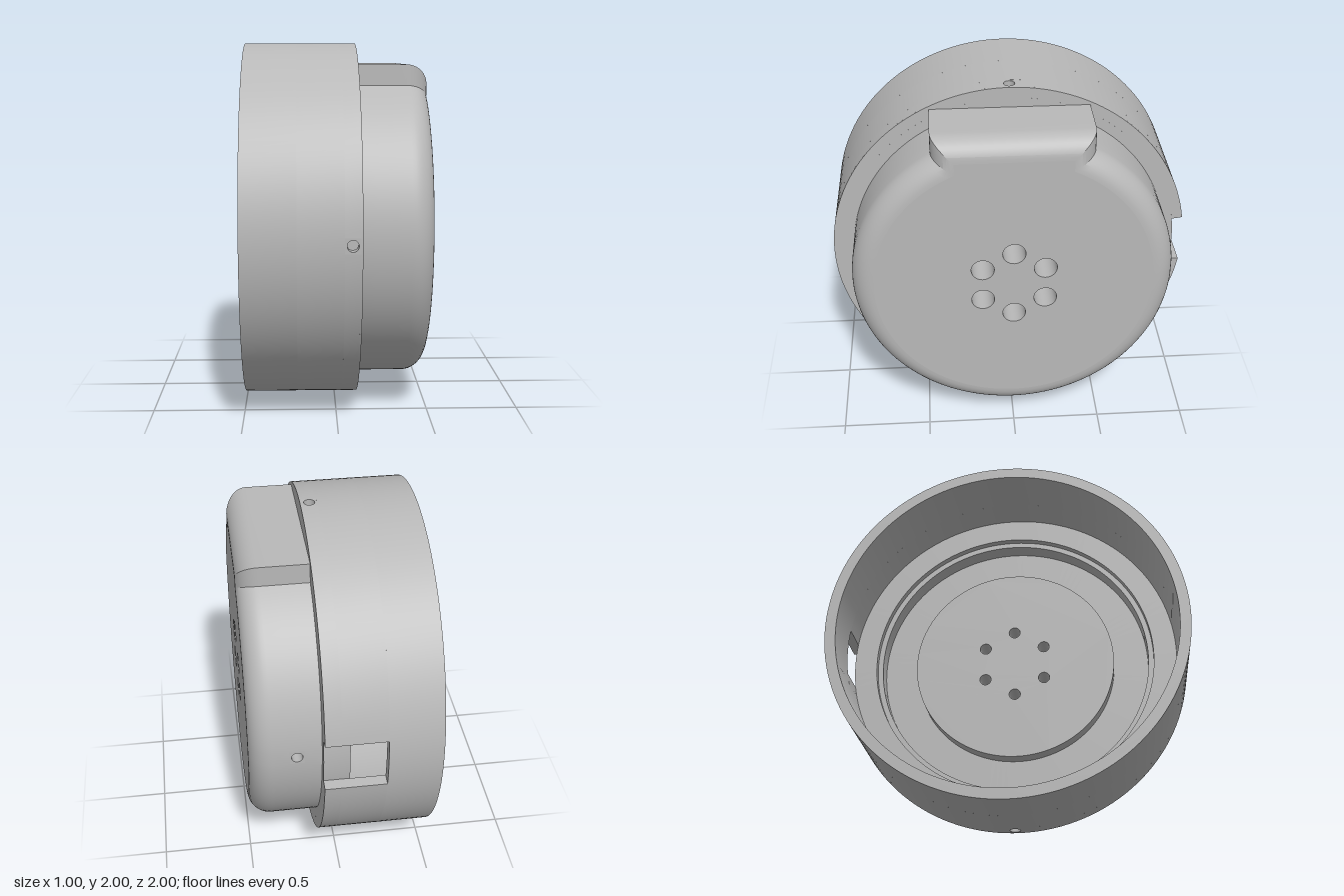
import * as THREE from 'three';
import { toCreasedNormals, mergeGeometries } from 'three/addons/utils/BufferGeometryUtils.js';

const PI = Math.PI;
const BORE = 0.94, CAP_R = 0.885, BUMP = 0.43, FILLET = 0.12, FRONT = 0.5, FLOOR = 0.03;
const PIN = 0.04, CAP_PIN = 0.045; // half angles of the pin hole patches
const grey = new THREE.MeshStandardMaterial({ color: 0xb8b8b8 });
grey.name = 'grey plastic';

// Angles run round the x axis: 0 is back (-z), PI/2 is top, PI is front.
const facing = (geometry, side) => geometry.rotateY(side * PI / 2);

// One layer of the sleeve wall between x0 and x1, made of separate arcs
function sleeveLayer(x0, x1, arcs) {
  return arcs.map(([a, b]) => {
    const s = new THREE.Shape();
    s.absarc(0, 0, 1, a, b, false);
    s.absarc(0, 0, BORE, b, a, true);
    s.closePath();
    const g = new THREE.ExtrudeGeometry(s, {
      depth: x1 - x0, bevelEnabled: false, curveSegments: Math.ceil((b - a) * 11),
    });
    return facing(g.translate(0, 0, x0), 1);
  });
}

// Small wall patch with a blind radial hole
function pinPatch(x, angle, radius, half, depth) {
  const s = new THREE.Shape([[-0.04, -half], [0.04, -half], [0.04, half], [-0.04, half]]
    .map(([u, v]) => new THREE.Vector2(u, v)));
  s.holes.push(new THREE.Path().absarc(0, 0, 0.03, 0, 2 * PI, true));
  const wall = new THREE.ExtrudeGeometry(s, { depth, bevelEnabled: false, curveSegments: 12 });
  wall.translate(0, 0, radius - depth);
  const bottom = new THREE.BoxGeometry(0.08, 2 * half, 0.02).toNonIndexed();
  bottom.translate(0, 0, radius - depth - 0.01);
  return mergeGeometries([wall, bottom]).rotateX(PI + angle).translate(x, 0, 0);
}

// Cap outline inset by d: a circle with a square bump on top
function outline(d) {
  const r = CAP_R - d, w = BUMP - d, join = Math.acos(w / r), pts = [];
  const arc = (a, b, n) => {
    for (let i = 0; i <= n; i++) {
      const t = a + (b - a) * i / n;
      pts.push(new THREE.Vector2(r * Math.cos(t), r * Math.sin(t)));
    }
  };
  arc(CAP_PIN, join, 24);
  pts.push(new THREE.Vector2(w, r), new THREE.Vector2(-w, r));
  arc(PI - join, 2 * PI - CAP_PIN, 90);
  return pts;
}

// Cap side wall and rounded rim, leaving a gap for the pin hole patch
function capWall() {
  const rows = [[0.1, 0], [0.21, 0], [0.29, 0]];
  for (let i = 0; i <= 10; i++) {
    const t = i / 10 * PI / 2;
    rows.push([FRONT - FILLET + FILLET * Math.sin(t), FILLET * (1 - Math.cos(t))]);
  }
  const pos = [], index = [];
  let n = 0;
  for (const [x, d] of rows) {
    const pts = outline(d);
    n = pts.length;
    for (const p of pts) pos.push(p.x, p.y, x);
  }
  for (let j = 0; j < rows.length - 1; j++) {
    for (let i = 0; i < n; i++) {
      if (j === 1 && i === n - 1) continue;
      const k = (i + 1) % n, a = j * n, b = a + n;
      index.push(a + i, a + k, b + k, a + i, b + k, b + i);
    }
  }
  const g = new THREE.BufferGeometry();
  g.setAttribute('position', new THREE.Float32BufferAttribute(pos, 3));
  g.setIndex(index);
  g.computeVertexNormals();
  return facing(g, 1);
}

// Lathe about the x axis from [radius, x] pairs
function turned(profile, segments) {
  const pts = profile.map(([r, x]) => new THREE.Vector2(r, x));
  return new THREE.LatheGeometry(pts, segments).rotateZ(-PI / 2);
}

export function createModel() {
  const model = new THREE.Group();
  model.name = 'housing';
  const body = new THREE.Group();
  body.name = 'body';
  body.position.y = 1;
  model.add(body);
  const add = (name, geometry) => {
    const mesh = new THREE.Mesh(toCreasedNormals(geometry, 0.45), grey);
    mesh.name = name;
    body.add(mesh);
    return mesh;
  };

  // Sleeve with a side slot at the back and three pin holes
  const slot = 0.1455, end = 2 * PI - slot;
  const pins = [PI / 2, PI, 3 * PI / 2];
  const cuts = [slot, ...pins.flatMap(a => [a - PIN, a + PIN]), end];
  const pinArcs = [0, 2, 4, 6].map(i => [cuts[i], cuts[i + 1]]);
  const slotArcs = [[slot, PI], [PI, end]];
  const layers = [
    ...sleeveLayer(-0.5, -0.21, [[0, PI], [PI, 2 * PI]]),
    ...sleeveLayer(-0.21, 0.03, slotArcs),
    ...sleeveLayer(0.03, 0.11, pinArcs),
    ...sleeveLayer(0.11, 0.12, slotArcs),
  ];
  add('sleeve', mergeGeometries(layers));
  for (const a of pins) add('sleevePinHole', pinPatch(0.07, a, Math.cos(PIN), Math.sin(PIN), 0.055));

  // Stepped flange seated inside the sleeve
  add('flange', turned([[0.58, FLOOR], [0.58, 0.12], [0.78, 0.12], [0.78, 0.02], [0.81, 0.02],
    [0.81, -0.02], [BORE, -0.02], [BORE, 0.12], [0.86, 0.12]], 128));

  // Cap shell
  add('capWall', capWall());
  add('capPinHole', pinPatch(0.25, 0, CAP_R * Math.cos(CAP_PIN), CAP_R * Math.sin(CAP_PIN), 0.1));

  // Faces pierced by six screw holes
  const holes = [];
  for (let i = 0; i < 6; i++) {
    const a = PI / 6 + i * PI / 3;
    holes.push([0.198 * Math.cos(a), 0.198 * Math.sin(a)]);
  }
  const pierced = (shape, r) => {
    for (const [u, v] of holes) shape.holes.push(new THREE.Path().absarc(u, v, r, 0, 2 * PI, true));
    return new THREE.ShapeGeometry(shape, 16);
  };
  add('capFace', facing(pierced(new THREE.Shape(outline(FILLET)), 0.063).translate(0, 0, FRONT), 1));
  const disc = new THREE.Shape(new THREE.Path().absarc(0, 0, 0.58, 0, 2 * PI, false).getPoints(64));
  add('innerFace', facing(pierced(disc, 0.033).translate(0, 0, -FLOOR), -1));

  // Counterbored screw holes
  for (const [z, y] of holes) {
    const bore = turned([[0.063, FRONT], [0.063, 0.2], [0.033, 0.2], [0.033, FLOOR]], 32);
    add('screwHole', bore).position.set(0, y, z);
  }
  return model;
}
